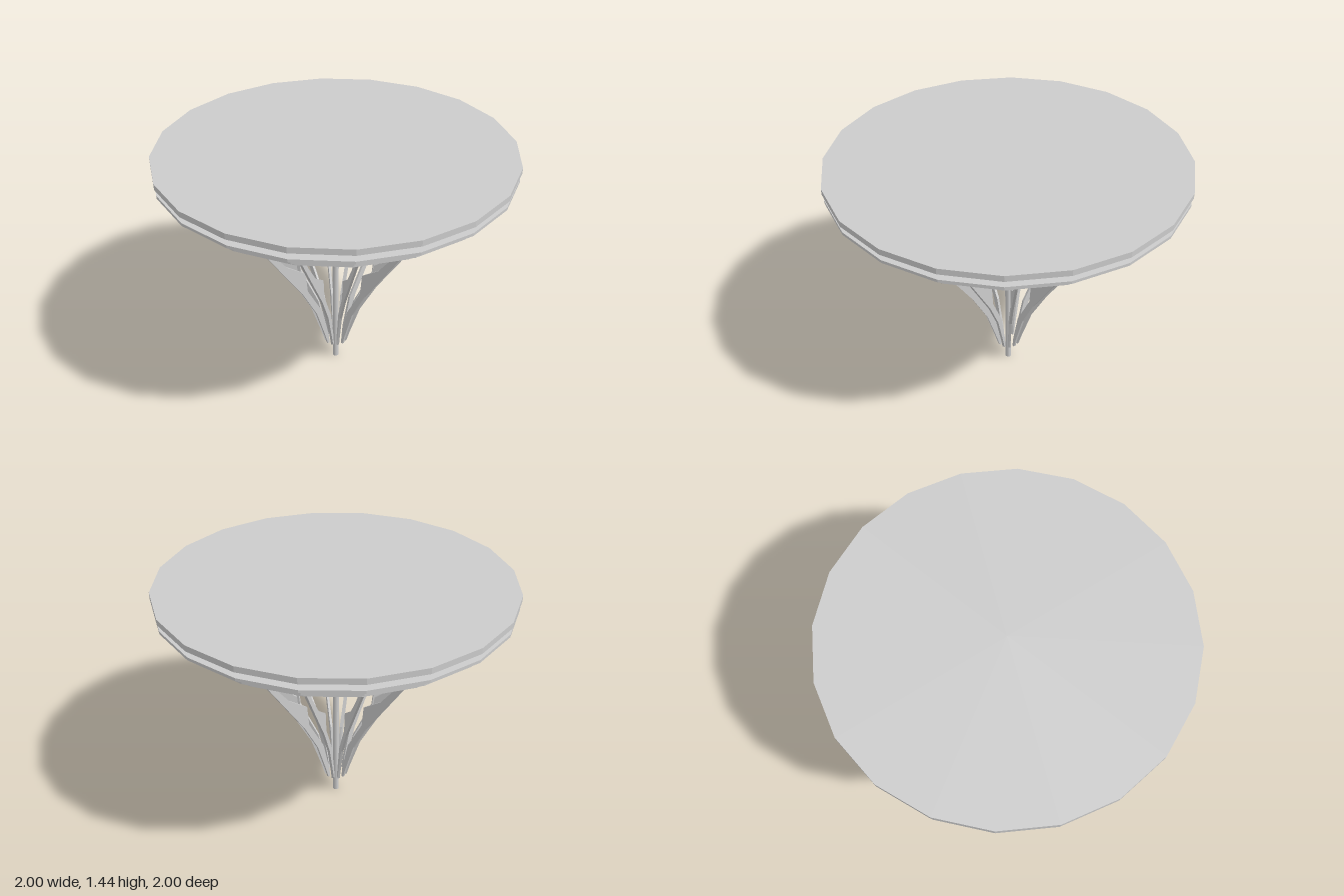
import * as THREE from 'three';

const material = new THREE.MeshStandardMaterial({ color: 0xcccccc, flatShading: true });
const SIDES = 20;
const FINS = 12;

// Turned part from [radius, height] pairs, listed so that the outside runs upward
function turned(name, profile) {
  const points = profile.map(([r, y]) => new THREE.Vector2(r, y));
  const mesh = new THREE.Mesh(new THREE.LatheGeometry(points, SIDES), material);
  mesh.name = name;
  return mesh;
}

// Flat annular plate with a central opening
function plate(name, inner, outer, y0, y1) {
  return turned(name, [[inner, y0], [outer, y0], [outer, y1], [inner, y1], [inner, y0]]);
}

// Blade outline: outer edge upward, then inner edge downward with its shoulder
function finGeometry() {
  const outline = [
    [0.07, 0.13], [0.09, 0.2], [0.155, 0.4], [0.257, 0.59], [0.648, 1.175], [0.925, 1.36],
    [0.875, 1.36], [0.6, 1.175], [0.47, 0.965], [0.365, 0.83], [0.235, 0.73],
    [0.222, 0.6], [0.11, 0.395], [0.064, 0.2], [0.056, 0.13],
  ];
  const shape = new THREE.Shape(outline.map(([r, y]) => new THREE.Vector2(r, y)));
  const depth = 0.014;
  return new THREE.ExtrudeGeometry(shape, { depth, bevelEnabled: false }).translate(0, 0, -depth / 2);
}

export function createModel() {
  const model = new THREE.Group();
  model.name = 'finnedTable';

  // Solid top
  const top = new THREE.Mesh(new THREE.CylinderGeometry(1, 1, 0.033, SIDES), material);
  top.name = 'tableTop';
  top.position.y = 1.427;
  model.add(top);

  // Stack of shrinking ring plates below the top
  model.add(plate('upperRing', 0.43, 0.993, 1.358, 1.374));
  model.add(plate('middleRing', 0.43, 0.945, 1.315, 1.33));
  model.add(plate('lowerRing', 0.43, 0.88, 1.266, 1.281));

  // Central post: thin spike, cone and thick upper column
  model.add(turned('centralPost', [
    [0, 0], [0.018, 0], [0.018, 0.735], [0.084, 1.02], [0.084, 1.412], [0, 1.412],
  ]));

  // Radial support fins
  const fins = new THREE.Group();
  fins.name = 'supportFins';
  const geometry = finGeometry();
  for (let i = 0; i < FINS; i++) {
    const fin = new THREE.Mesh(geometry, material);
    fin.name = 'fin' + (i + 1);
    fin.rotation.y = (i / FINS) * Math.PI * 2;
    fins.add(fin);
  }
  model.add(fins);

  return model;
}
